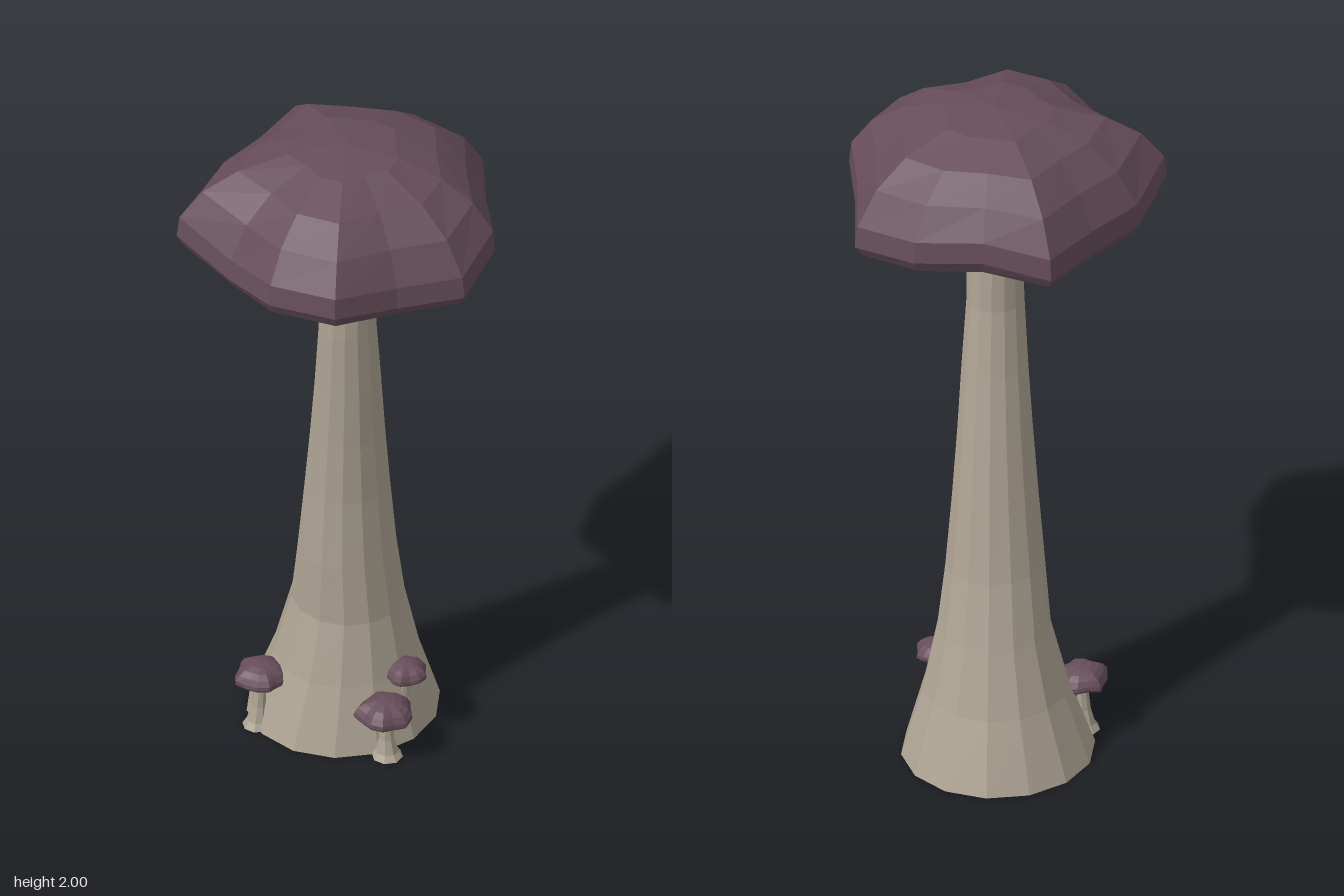
import * as THREE from 'three';

const SIDES = 14;

const stemMat = new THREE.MeshStandardMaterial({ color: 0xaea494, side: THREE.DoubleSide });
stemMat.name = 'pale stem';
const capMat = new THREE.MeshStandardMaterial({ color: 0x674e5a });
capMat.name = 'dusky cap';
const gillMat = new THREE.MeshStandardMaterial({ color: 0xb868cb });
gillMat.name = 'purple underside';

// Faceted skin through rings of points; a ring may shrink to one point.
function loft(rings) {
  const pos = [];
  const face = (a, b, c) => {
    if (a.distanceTo(b) < 1e-6 || b.distanceTo(c) < 1e-6 || c.distanceTo(a) < 1e-6) return;
    for (const p of [a, b, c]) pos.push(p.x, p.y, p.z);
  };
  for (let i = 0; i < rings.length - 1; i++) {
    for (let j = 0; j < rings[i].length; j++) {
      const k = (j + 1) % rings[i].length;
      const [a, b, c, d] = [rings[i][j], rings[i][k], rings[i + 1][j], rings[i + 1][k]];
      face(a, c, b);
      face(b, c, d);
    }
  }
  const g = new THREE.BufferGeometry();
  g.setAttribute('position', new THREE.Float32BufferAttribute(pos, 3));
  g.computeVertexNormals();
  return g;
}

// Elliptical ring spanning x0..x1 and z0..z1 at height y.
function ovalRing([y, x0, x1, z0, z1], sides = SIDES) {
  return Array.from({ length: sides }, (_, j) => {
    const t = (j / sides) * Math.PI * 2;
    return new THREE.Vector3(
      (x0 + x1) / 2 + (Math.cos(t) * (x1 - x0)) / 2, y,
      (z0 + z1) / 2 + (Math.sin(t) * (z1 - z0)) / 2);
  });
}

function mesh(name, geometry, material) {
  const m = new THREE.Mesh(geometry, material);
  m.name = name;
  return m;
}

// Lobed outline of the cap (x, z), and how far the rim lifts at each lobe.
const LOBES = [
  [0.44, 0.005], [0.335, 0.17], [0.247, 0.338], [0.08, 0.432], [-0.1, 0.372], [-0.295, 0.353], [-0.402, 0.19],
  [-0.406, 0], [-0.442, -0.2], [-0.275, -0.32], [-0.1, -0.366], [0.085, -0.437], [0.222, -0.305], [0.365, -0.177],
];
const LIFT = [-0.01, 0.012, 0.028, -0.008, -0.006, 0.026, 0.02, -0.008, 0.034, -0.008, -0.01, -0.004, 0.028, 0.01];

// Ring at a fraction f of the outline; the crown sits slightly to one side.
function capRing([f, y]) {
  return LOBES.map(([x, z], j) =>
    new THREE.Vector3(x * f - 0.015 * (1 - f), y + LIFT[j] * f ** 4, z * f));
}

// Cap with its rim near y = 0 and its top at y = 0.33.
function makeCap(name) {
  const g = new THREE.Group();
  g.name = name;
  const dome = [[0.95, 0.003], [1, 0.036], [0.985, 0.1], [0.85, 0.194], [0.64, 0.265], [0.35, 0.312], [0, 0.33]];
  const under = [[0, 0.085], [0.38, 0.08], [0.74, 0.054], [0.95, 0.003]];
  g.add(mesh('capTop', loft(dome.map(capRing)), capMat));
  g.add(mesh('capUnderside', loft(under.map(capRing)), gillMat));
  return g;
}

// Small mushroom: flared stem and a scaled-down cap; the foot is offset by dx, dz.
function makeSmallMushroom(name, [x, z], rimY, scale, turn, [dx, dz]) {
  const g = new THREE.Group();
  g.name = name;
  const h = rimY + 0.085 * scale;
  const rings = [[0, 0.235], [0.12, 0.17], [0.4, 0.115], [0.8, 0.1], [1, 0.14]].map(([f, w]) => {
    const r = w * scale;
    const [cx, cz] = [dx * (1 - f), dz * (1 - f)];
    return ovalRing([f * h, cx - r, cx + r, cz - r, cz + r], 8);
  });
  g.add(mesh('smallStem', loft(rings), stemMat));
  const cap = makeCap('smallCap');
  cap.scale.setScalar(scale);
  cap.position.y = rimY;
  cap.rotation.y = turn;
  g.add(cap);
  g.position.set(x, 0, z);
  return g;
}

export function createModel() {
  const model = new THREE.Group();
  model.name = 'mushroomCluster';

  // Leaning trunk, open at the foot: height, x range, z range
  const trunk = [
    [0, -0.224, 0.316, -0.366, 0.155],
    [0.2, -0.156, 0.247, -0.292, 0.11],
    [0.39, -0.112, 0.2, -0.24, 0.079],
    [0.58, -0.11, 0.166, -0.196, 0.072],
    [0.8, -0.101, 0.139, -0.161, 0.065],
    [1.0, -0.096, 0.114, -0.13, 0.067],
    [1.18, -0.095, 0.092, -0.102, 0.074],
    [1.38, -0.095, 0.067, -0.075, 0.08],
    [1.56, -0.093, 0.06, -0.067, 0.085],
    [1.68, -0.095, 0.067, -0.073, 0.092],
    [1.76, -0.1, 0.074, -0.08, 0.097],
  ];
  model.add(mesh('trunk', loft(trunk.map((r) => ovalRing(r))), stemMat));

  const cap = makeCap('mainCap');
  cap.position.y = 1.67;
  model.add(cap);

  // Small mushrooms around the foot
  model.add(makeSmallMushroom('sideMushroom', [-0.196, -0.15], 0.152, 0.172, 0.4, [-0.014, 0]));
  model.add(makeSmallMushroom('frontMushroom', [0, 0.168], 0.135, 0.185, 0, [0.005, 0]));
  model.add(makeSmallMushroom('upperMushroom', [0.102, 0.114], 0.202, 0.142, 1.2, [0, -0.025]));

  return model;
}
